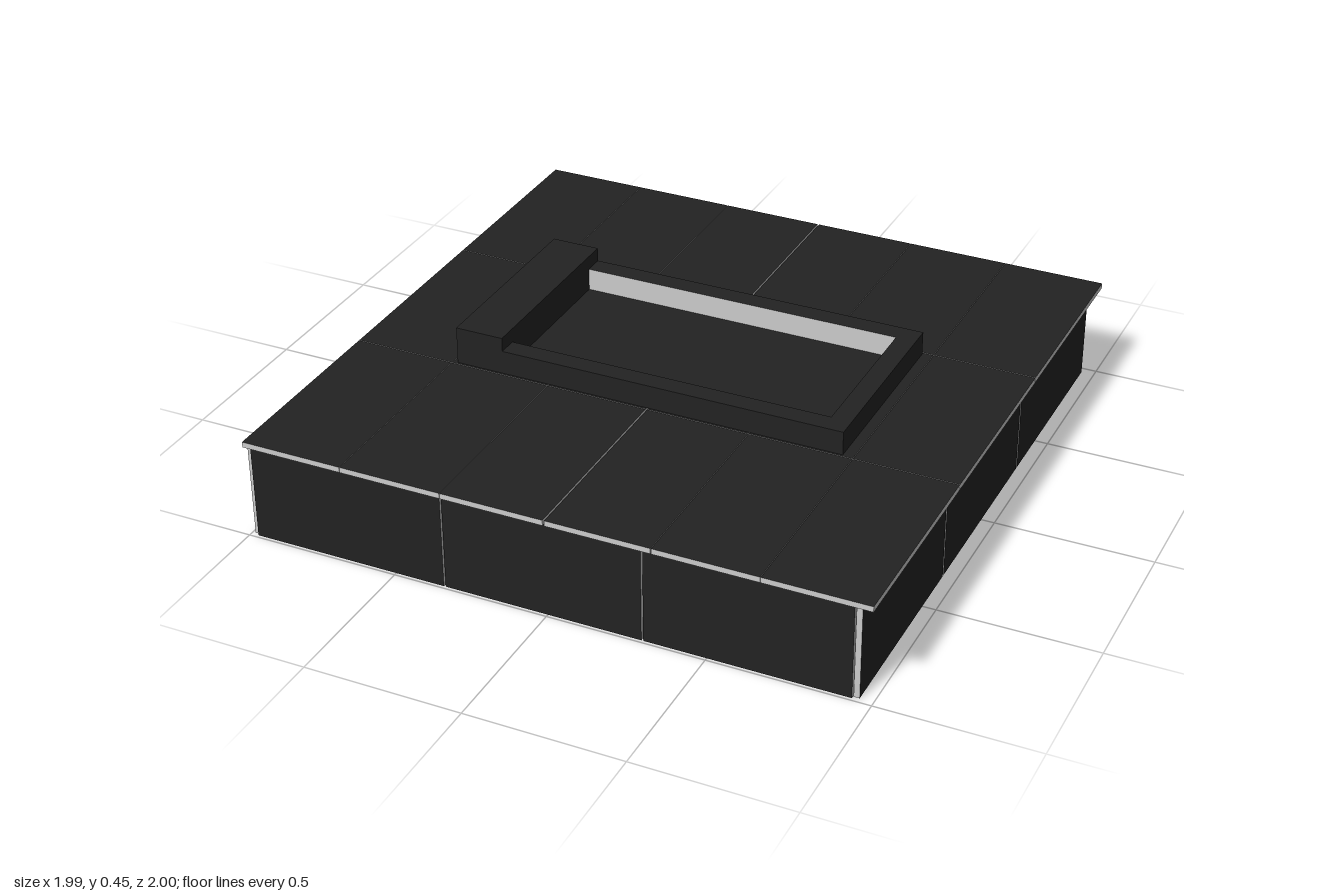
import * as THREE from 'three';

export function createModel() {
  const model = new THREE.Group();
  const dark = new THREE.MeshStandardMaterial({ color: 0x222222 });
  dark.name = 'polishedDarkStone';
  const light = new THREE.MeshStandardMaterial({ color: 0xcccccc });
  light.name = 'rawGreyStone';

  // Box from [min, max] ranges; `faces` lists the sides that are polished dark
  const order = ['+x', '-x', '+y', '-y', '+z', '-z'];
  function slab(name, [x0, x1], [y0, y1], [z0, z1], faces) {
    const mats = order.map((f) => (faces.includes(f) ? dark : light));
    const mesh = new THREE.Mesh(new THREE.BoxGeometry(x1 - x0, y1 - y0, z1 - z0), mats);
    mesh.position.set((x0 + x1) / 2, (y0 + y1) / 2, (z0 + z1) / 2);
    mesh.name = name;
    model.add(mesh);
  }

  // Split a range into n pieces with a gap between neighbours
  function split(a, b, n, gap) {
    const w = (b - a) / n;
    return Array.from({ length: n }, (_, i) => [
      a + i * w + (i ? gap / 2 : 0),
      a + (i + 1) * w - (i < n - 1 ? gap / 2 : 0),
    ]);
  }

  // Inner foundation, raised clear of the ground
  slab('foundation', [-0.974, 0.939], [0.1, 0.31], [-0.959, 0.974], []);

  // Thin cladding around the sides, three panels each
  const wallY = [0, 0.31];
  split(-0.975, 0.938, 3, 0.006).forEach((x) =>
    slab('frontPanel', x, wallY, [0.975, 0.99], ['+z', '-z']));
  split(-0.99, 0.938, 3, 0.006).forEach((x, i) =>
    slab('backPanel', x, wallY, [-0.975, -0.96], i ? ['+z', '-z'] : ['+z', '-z', '-x']));
  split(-0.975, 0.982, 3, 0.006).forEach((z) =>
    slab('leftPanel', [0.94, 0.958], wallY, z, ['+x', '-x']));
  split(-0.96, 0.982, 3, 0.006).forEach((z) =>
    slab('rightPanel', [-0.99, -0.975], wallY, z, ['+x', '-x']));

  // Paving: two halves of three columns, three rows, with an open joint at x = 0
  const columns = [...split(-0.995, -0.003, 3, 0.002), ...split(0.003, 0.995, 3, 0.002)];
  for (const z of split(-1, 1, 3, 0.002)) {
    for (const x of columns) slab('pavingSlab', x, [0.31, 0.328], z, ['+y']);
  }

  // Raised kerb around the bed, raw stone on the inner faces
  const kerbY = [0.328, 0.405];
  slab('frontKerb', [-0.49, 0.63], kerbY, [0.26, 0.325], ['+x', '-x', '+y', '+z']);
  slab('backKerb', [-0.49, 0.63], kerbY, [-0.325, -0.26], ['+x', '-x', '+y', '-z']);
  slab('footKerb', [0.565, 0.63], kerbY, [-0.26, 0.26], ['+x', '+y']);
  slab('bedFloor', [-0.49, 0.565], [0.328, 0.332], [-0.26, 0.26], ['+y']);

  // Taller block at the head end
  slab('headBlock', [-0.648, -0.49], [0.328, 0.45], [-0.325, 0.325], ['+x', '-x', '+y', '+z', '-z']);

  return model;
}
